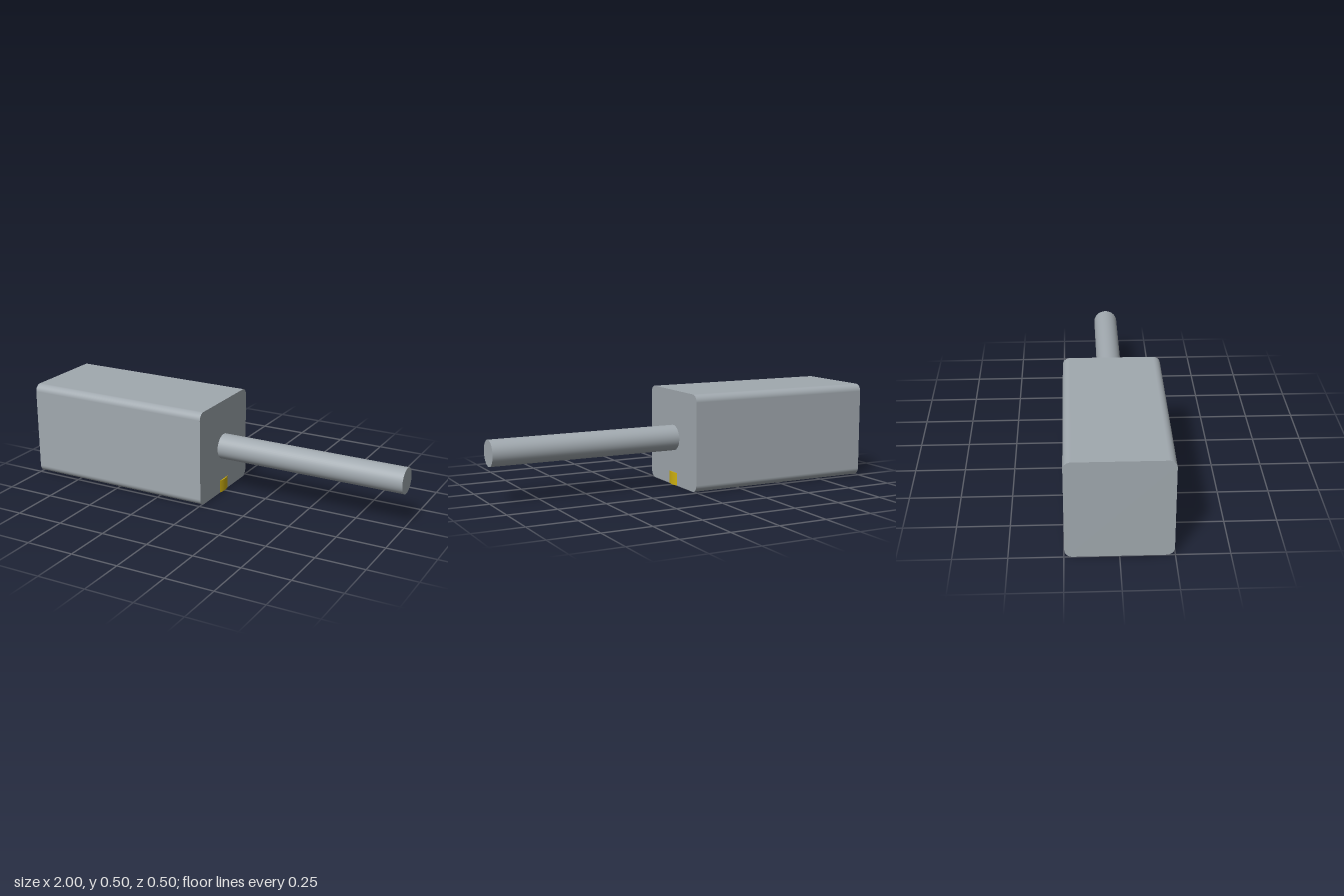
import * as THREE from 'three';

const SIZE = 0.495;      // height and depth of the housing
const FRONT = 0.005;     // x of the face carrying the shaft
const ROUND = 0.037;     // radius of the long edges

const greyMetal = new THREE.MeshStandardMaterial({ color: 0xa1a9af });
greyMetal.name = 'greyMetal';
const gold = new THREE.MeshStandardMaterial({ color: 0xd0b210 });
gold.name = 'gold';

function add(group, name, geometry, material, x, y, z) {
  const mesh = new THREE.Mesh(geometry, material);
  mesh.name = name;
  mesh.position.set(x, y, z);
  group.add(mesh);
  return mesh;
}

// Square cross-section with rounded corners, centred on the origin
function roundedSquare(size, r) {
  const h = size / 2, k = h - r;
  const shape = new THREE.Shape();
  shape.absarc(k, k, r, 0, Math.PI / 2);
  shape.absarc(-k, k, r, Math.PI / 2, Math.PI);
  shape.absarc(-k, -k, r, Math.PI, Math.PI * 1.5);
  shape.absarc(k, -k, r, Math.PI * 1.5, Math.PI * 2);
  shape.closePath();
  return shape;
}

// Give the side walls smooth normals derived from the rounded outline
function smoothSides(geometry, size, r) {
  const p = geometry.attributes.position, n = geometry.attributes.normal;
  const k = size / 2 - r;
  for (let i = 0; i < p.count; i++) {
    if (Math.abs(n.getZ(i)) > 0.5) continue;
    const dx = p.getX(i) - THREE.MathUtils.clamp(p.getX(i), -k, k);
    const dy = p.getY(i) - THREE.MathUtils.clamp(p.getY(i), -k, k);
    const len = Math.hypot(dx, dy) || 1;
    n.setXYZ(i, dx / len, dy / len, 0);
  }
  return geometry;
}

export function createModel() {
  const model = new THREE.Group();
  model.name = 'motorWithShaft';

  // Housing: extruded along x with sharp ends
  const housing = new THREE.ExtrudeGeometry(roundedSquare(SIZE, ROUND), {
    depth: 1 + FRONT, bevelEnabled: false, curveSegments: 10,
  });
  smoothSides(housing, SIZE, ROUND).rotateY(Math.PI / 2);
  add(model, 'housing', housing, greyMetal, -1, SIZE / 2, 0);

  // Round shaft leaving the front face
  const shaftLength = 1 - FRONT;
  const shaft = new THREE.CylinderGeometry(0.066, 0.066, shaftLength, 48).rotateZ(-Math.PI / 2);
  add(model, 'shaft', shaft, greyMetal, FRONT + shaftLength / 2, SIZE / 2, 0);

  // Two discs set flush into the underside; the first just breaks the front face
  const disc = new THREE.CylinderGeometry(0.135, 0.135, 0.066, 48);
  [['frontDisc', -0.123], ['rearDisc', -0.635]].forEach(([name, x]) => {
    add(model, name, disc, gold, x, 0.033, 0);
  });

  return model;
}
